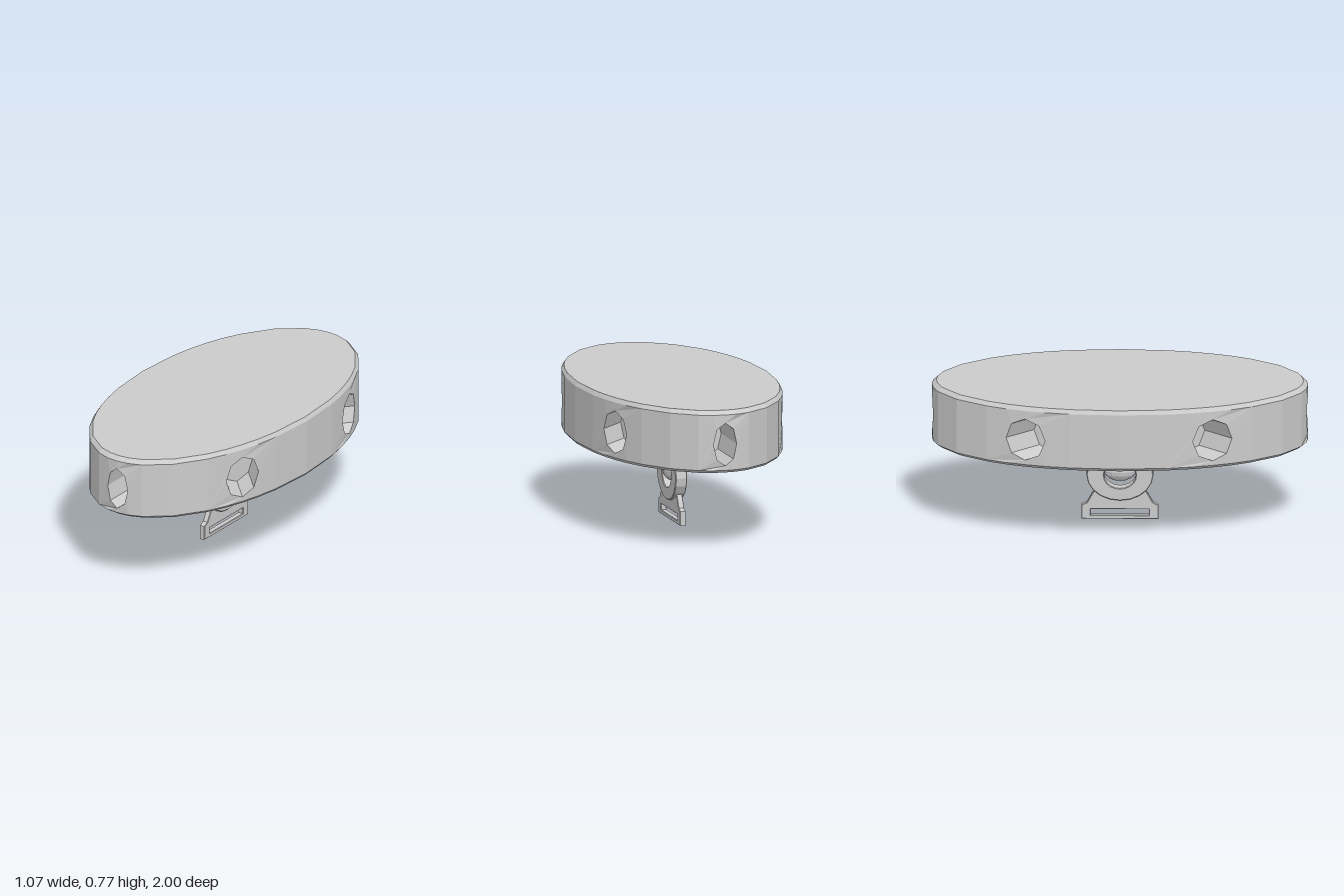
import * as THREE from 'three';

const SQUASH = 0.537;               // oval: x is narrower than z
const RAD = Math.PI / 180;
const MID_Y = 0.59, PORT_W = 0.12, PORT_H = 0.115, PORT_FLOOR = 0.7;
const LOW = 0.45, HIGH = 0.75;      // straight part of the wall

const material = () => new THREE.MeshStandardMaterial({ color: 0xcccccc, flatShading: true });

function addMesh(group, name, geometry) {
  const mesh = new THREE.Mesh(geometry, material());
  mesh.name = name;
  group.add(mesh);
  return mesh;
}

// Point on the oval at angle a and radius r, shifted sideways by t
function oval(a, y, r = 1, t = 0) {
  return [(Math.sin(a) * r + Math.cos(a) * t) * SQUASH, y, Math.cos(a) * r - Math.sin(a) * t];
}

function bodyGeometry() {
  const pos = [];
  const tri = (a, b, c) => pos.push(...a, ...b, ...c);
  const quad = (a, b, c, d) => { tri(a, b, c); tri(a, c, d); };

  // Wall angles in one sixth of the rim, denser beside the port
  const side = Math.asin(PORT_W);
  const edge = [-15 * RAD, -side, 0, side, 15 * RAD];
  const angles = [];
  for (let k = 0; k < 6; k++) for (const a of [...edge, 30 * RAD]) angles.push(a + k * 60 * RAD);

  // Bevels and flat faces
  const inset = 0.976, top = 0.772, bottom = 0.434;
  angles.forEach((a, i) => {
    const b = angles[(i + 1) % angles.length];
    quad(oval(a, HIGH), oval(b, HIGH), oval(b, top, inset), oval(a, top, inset));
    quad(oval(a, bottom, inset), oval(b, bottom, inset), oval(b, LOW), oval(a, LOW));
    tri([0, top, 0], oval(a, top, inset), oval(b, top, inset));
    tri([0, bottom, 0], oval(b, bottom, inset), oval(a, bottom, inset));
  });

  // Wall panel with an octagonal opening, unrolled as (angle, height)
  const port = [];
  for (let i = 0; i < 8; i++) {
    const p = i * Math.PI / 4;
    port.push([PORT_W * Math.cos(p), MID_Y + PORT_H * Math.sin(p)]);
  }
  const panel = new THREE.Shape([
    ...edge.map(a => new THREE.Vector2(a, LOW)),
    ...edge.slice().reverse().map(a => new THREE.Vector2(a, HIGH)),
  ]);
  panel.holes.push(new THREE.Path(port.map(([t, y]) => new THREE.Vector2(Math.asin(t), y))));
  const flat = new THREE.ShapeGeometry(panel).toNonIndexed().attributes.position;

  for (let k = 0; k < 6; k++) {
    const mid = k * 60 * RAD;
    for (let i = 0; i < flat.count; i++) pos.push(...oval(mid + flat.getX(i), flat.getY(i)));
    // Plain wall between the ports
    for (const d of [15, 30]) {
      const a = mid + d * RAD, b = a + 15 * RAD;
      quad(oval(a, LOW), oval(b, LOW), oval(b, HIGH), oval(a, HIGH));
    }
    // Recess of the port
    port.forEach(([t, y], i) => {
      const [t2, y2] = port[(i + 1) % 8];
      const inA = oval(mid, y, PORT_FLOOR, t), inB = oval(mid, y2, PORT_FLOOR, t2);
      quad(oval(mid + Math.asin(t), y), oval(mid + Math.asin(t2), y2), inB, inA);
      tri(oval(mid, MID_Y, PORT_FLOOR), inA, inB);
    });
  }

  const geometry = new THREE.BufferGeometry();
  geometry.setAttribute('position', new THREE.Float32BufferAttribute(pos, 3));
  geometry.computeVertexNormals();
  return geometry;
}

// Upright plate drawn in (z, y), given a thickness along x
function plateGeometry(shape, halfThick, bevel) {
  const depth = 2 * (halfThick - bevel);
  const geometry = new THREE.ExtrudeGeometry(shape, {
    depth, curveSegments: 10, bevelSize: bevel, bevelThickness: bevel, bevelOffset: -bevel, bevelSegments: 1,
  });
  return geometry.translate(0, 0, -depth / 2).rotateY(Math.PI / 2);
}

export function createModel() {
  const model = new THREE.Group();

  addMesh(model, 'ovalBody', bodyGeometry());

  // Short neck under the body
  const neck = addMesh(model, 'neck', new THREE.CylinderGeometry(0.056, 0.056, 0.08, 16));
  neck.scale.x = SQUASH;
  neck.position.y = 0.41;

  // Swivel ring with the ball held in its eye
  const ring = new THREE.Shape();
  ring.absellipse(0, 0.251, 0.178, 0.144, 0, Math.PI * 2);
  const eye = new THREE.Path();
  eye.absellipse(0, 0.25, 0.085, 0.075, 0, Math.PI * 2);
  ring.holes.push(eye);
  addMesh(model, 'swivelRing', plateGeometry(ring, 0.032, 0.004));

  const ball = addMesh(model, 'swivelBall', new THREE.SphereGeometry(1, 12, 8));
  ball.scale.set(0.05, 0.058, 0.087);
  ball.position.y = 0.268;

  // Strap bracket with a long slot
  const half = [[0.205, 0], [0.205, 0.078], [0.175, 0.092], [0.157, 0.125], [0.138, 0.157]];
  const bracket = new THREE.Shape([
    ...half.map(([z, y]) => new THREE.Vector2(z, y)),
    ...half.slice().reverse().map(([z, y]) => new THREE.Vector2(-z, y)),
  ]);
  bracket.holes.push(new THREE.Path(
    [[-0.155, 0.021], [-0.155, 0.054], [0.155, 0.054], [0.155, 0.021]].map(([z, y]) => new THREE.Vector2(z, y))));
  addMesh(model, 'strapBracket', plateGeometry(bracket, 0.016, 0.003));

  return model;
}
